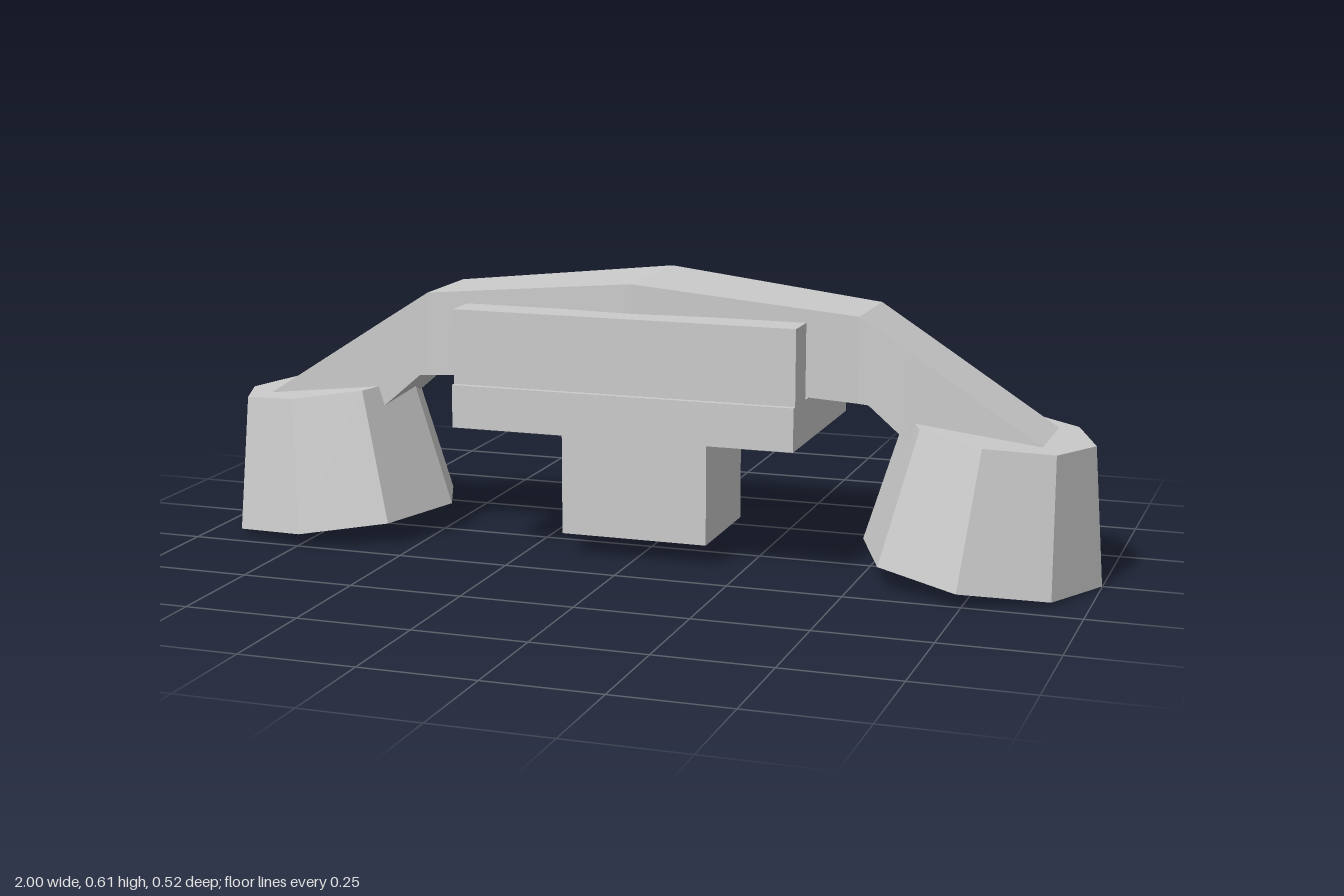
import * as THREE from 'three';

const material = new THREE.MeshStandardMaterial({ color: 0xcccccc, flatShading: true });

function addMesh(group, name, geometry, x, y, z) {
  const mesh = new THREE.Mesh(geometry, material);
  mesh.name = name;
  mesh.position.set(x, y, z);
  group.add(mesh);
  return mesh;
}

// Box given by its minimum and maximum corners
function addBox(group, name, [x0, y0, z0], [x1, y1, z1]) {
  const box = new THREE.BoxGeometry(x1 - x0, y1 - y0, z1 - z0);
  return addMesh(group, name, box, (x0 + x1) / 2, (y0 + y1) / 2, (z0 + z1) / 2);
}

// Arched grip lofted through rectangular sections along x
function handleGeometry() {
  // [x, bottom, top, half depth] for one half, mirrored for the other
  const half = [
    [0, 0.42, 0.617, 0.142],
    [0.49, 0.382, 0.567, 0.1],
    [0.512, 0.38, 0.553, 0.1],
    [0.6, 0.305, 0.497, 0.1],
    [0.885, 0.3, 0.314, 0.1],
  ];
  const mirrored = half.slice(1).reverse().map(([x, ...rest]) => [-x, ...rest]);
  const sections = [...mirrored, ...half];
  const points = [];
  const index = [];
  sections.forEach(([x, bottom, top, d], i) => {
    points.push(x, bottom, d, x, bottom, -d, x, top, -d, x, top, d);
    if (i === 0) return;
    for (let k = 0; k < 4; k++) {
      const a = (i - 1) * 4 + k;
      const b = (i - 1) * 4 + ((k + 1) % 4);
      index.push(a, b, b + 4, a, b + 4, a + 4);
    }
  });
  // End faces
  const e = (sections.length - 1) * 4;
  index.push(0, 2, 1, 0, 3, 2, e, e + 1, e + 2, e, e + 2, e + 3);
  const geometry = new THREE.BufferGeometry();
  geometry.setAttribute('position', new THREE.Float32BufferAttribute(points, 3));
  geometry.setIndex(index);
  const flat = geometry.toNonIndexed();
  flat.computeVertexNormals();
  return flat;
}

export function createModel() {
  const model = new THREE.Group();
  model.name = 'telephoneHandset';

  // Handset: grip with a flared, tilted octagonal cup at each end
  addMesh(model, 'handle', handleGeometry(), 0, 0, -0.003);
  for (const side of [-1, 1]) {
    const cup = new THREE.CylinderGeometry(0.203, 0.26, 0.296, 8);
    const name = side < 0 ? 'rightCup' : 'leftCup';
    addMesh(model, name, cup, side * 0.758, 0.182, 0).rotation.z = -side * 0.116;
  }

  // Cradle: base block, two upright plates and a post
  addBox(model, 'cradleBase', [-0.383, 0.295, -0.225], [0.383, 0.389, 0.218]);
  addBox(model, 'cradleFrontPlate', [-0.383, 0.389, 0.125], [0.383, 0.553, 0.205]);
  addBox(model, 'cradleBackPlate', [-0.383, 0.389, -0.222], [0.383, 0.553, -0.142]);
  addBox(model, 'cradlePost', [-0.165, 0.053, -0.135], [0.165, 0.295, 0.125]);

  return model;
}
